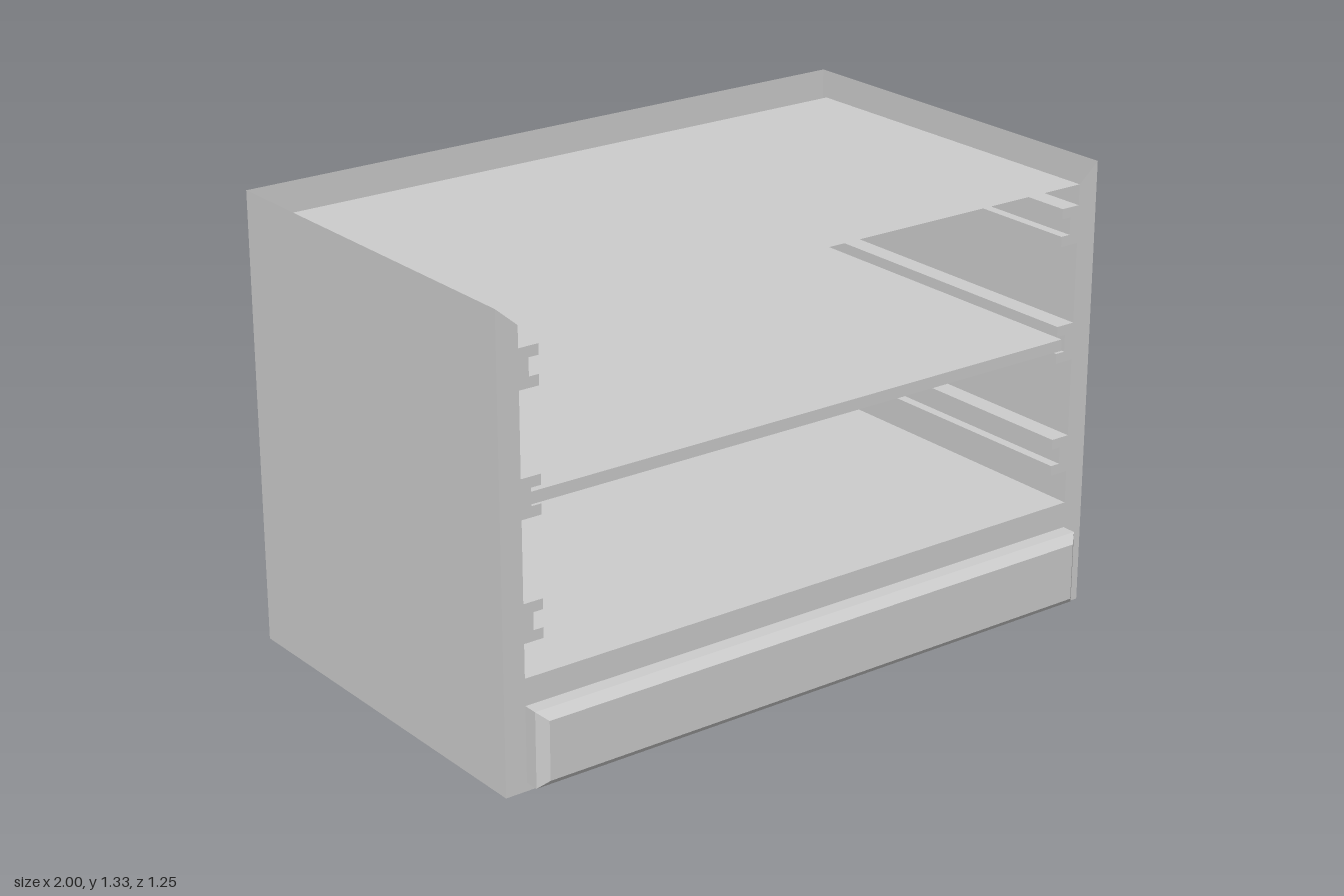
import * as THREE from 'three';

const FRONT = 0.56, BACK = -0.625, TOP = 1.325; // outer shell
const IN_X = 0.935, IN_BACK = -0.53, IN_LOW = 0.32, IN_HIGH = 1.27; // inner compartment

const material = new THREE.MeshStandardMaterial({
  color: 0xcccccc, flatShading: true, side: THREE.DoubleSide,
});

function add(parent, name, geometry) {
  const mesh = new THREE.Mesh(geometry, material);
  mesh.name = name;
  parent.add(mesh);
  return mesh;
}

// Thin panel of the given size, turned and placed.
function panel(parent, name, w, h, position, rotation = [0, 0, 0]) {
  const mesh = add(parent, name, new THREE.PlaneGeometry(w, h));
  mesh.position.set(...position);
  mesh.rotation.set(...rotation);
  return mesh;
}

// Skin over four-cornered rings, optionally capped at either end.
function loft(rings, capStart, capEnd) {
  const points = [];
  const quad = (a, b, c, d) => [a, b, c, a, c, d].forEach((p) => points.push(...p));
  for (let r = 0; r + 1 < rings.length; r++) {
    for (let i = 0; i < 4; i++) {
      const j = (i + 1) % 4;
      quad(rings[r][i], rings[r][j], rings[r + 1][j], rings[r + 1][i]);
    }
  }
  if (capStart) quad(...[...rings[0]].reverse());
  if (capEnd) quad(...rings[rings.length - 1]);
  const geometry = new THREE.BufferGeometry();
  geometry.setAttribute('position', new THREE.Float32BufferAttribute(points, 3));
  geometry.computeVertexNormals();
  return geometry;
}

const uprightRing = (x, y0, y1, z) => [[-x, y0, z], [x, y0, z], [x, y1, z], [-x, y1, z]];
const levelRing = (x, z0, z1, y) => [[-x, y, z0], [x, y, z0], [x, y, z1], [-x, y, z1]];

function polygon(points) {
  return points.map(([x, y]) => new THREE.Vector2(x, y));
}

export function createModel() {
  const cabinet = new THREE.Group();
  cabinet.name = 'cabinet';
  const quarter = Math.PI / 2;

  // Outer shell, open above and below
  const depth = FRONT - BACK, midZ = (FRONT + BACK) / 2;
  panel(cabinet, 'outerBack', 2, TOP, [0, TOP / 2, BACK], [0, Math.PI, 0]);
  for (const s of [-1, 1]) {
    panel(cabinet, s > 0 ? 'leftOuterSide' : 'rightOuterSide', depth, TOP,
      [s, TOP / 2, midZ], [0, s * quarter, 0]);
  }

  // Front frame with mitred upper ends and an opening behind the drawer front
  const frame = new THREE.Shape(polygon([
    [-1, 0], [1, 0], [1, TOP], [IN_X, IN_HIGH], [IN_X, IN_LOW],
    [-IN_X, IN_LOW], [-IN_X, IN_HIGH], [-1, TOP],
  ]));
  frame.holes.push(new THREE.Path(polygon([
    [-IN_X, 0.025], [-IN_X, 0.243], [IN_X, 0.243], [IN_X, 0.025],
  ])));
  add(cabinet, 'frontFrame', new THREE.ShapeGeometry(frame)).position.z = FRONT;

  // Inner compartment
  const inDepth = FRONT - IN_BACK, inMidZ = (FRONT + IN_BACK) / 2;
  const inHeight = IN_HIGH - IN_LOW, inMidY = (IN_HIGH + IN_LOW) / 2;
  panel(cabinet, 'compartmentFloor', 2 * IN_X, inDepth, [0, IN_LOW, inMidZ], [-quarter, 0, 0]);
  panel(cabinet, 'compartmentCeiling', 2 * IN_X, inDepth, [0, IN_HIGH, inMidZ], [quarter, 0, 0]);
  panel(cabinet, 'compartmentBack', 2 * IN_X, inHeight, [0, inMidY, IN_BACK]);
  for (const s of [-1, 1]) {
    panel(cabinet, s > 0 ? 'leftCompartmentSide' : 'rightCompartmentSide', inDepth, inHeight,
      [s * IN_X, inMidY, inMidZ], [0, -s * quarter, 0]);
  }

  // Grooved runner rails, three on each side
  const railLength = FRONT + 0.62;
  for (const s of [-1, 1]) {
    const profile = new THREE.Shape(polygon([
      [IN_X, -0.055], [IN_X, 0.055], [0.875, 0.055], [0.875, 0.025],
      [0.905, 0.025], [0.905, -0.025], [0.875, -0.025], [0.875, -0.055],
    ].map(([x, y]) => [s * x, y])));
    for (const y of [0.472, 0.811, 1.155]) {
      const rail = add(cabinet, s > 0 ? 'leftRail' : 'rightRail',
        new THREE.ExtrudeGeometry(profile, { depth: railLength, bevelEnabled: false }));
      rail.position.set(0, y, FRONT - railLength);
    }
  }

  // Sliding shelf with a shallow tapered underside
  add(cabinet, 'shelf', loft([
    levelRing(0.903, 0.55, IN_BACK, 0.82),
    levelRing(0.903, 0.55, IN_BACK, 0.786),
    levelRing(0.855, 0.5, -0.48, 0.786),
    levelRing(0.765, 0.41, -0.39, 0.754),
  ], true, true));

  // Bevelled drawer front, hollow behind
  add(cabinet, 'drawerFront', loft([
    uprightRing(IN_X, 0.025, 0.243, FRONT),
    uprightRing(IN_X, 0.025, 0.243, 0.603),
    uprightRing(0.908, 0.05, 0.22, 0.628),
  ], false, true));

  return cabinet;
}
